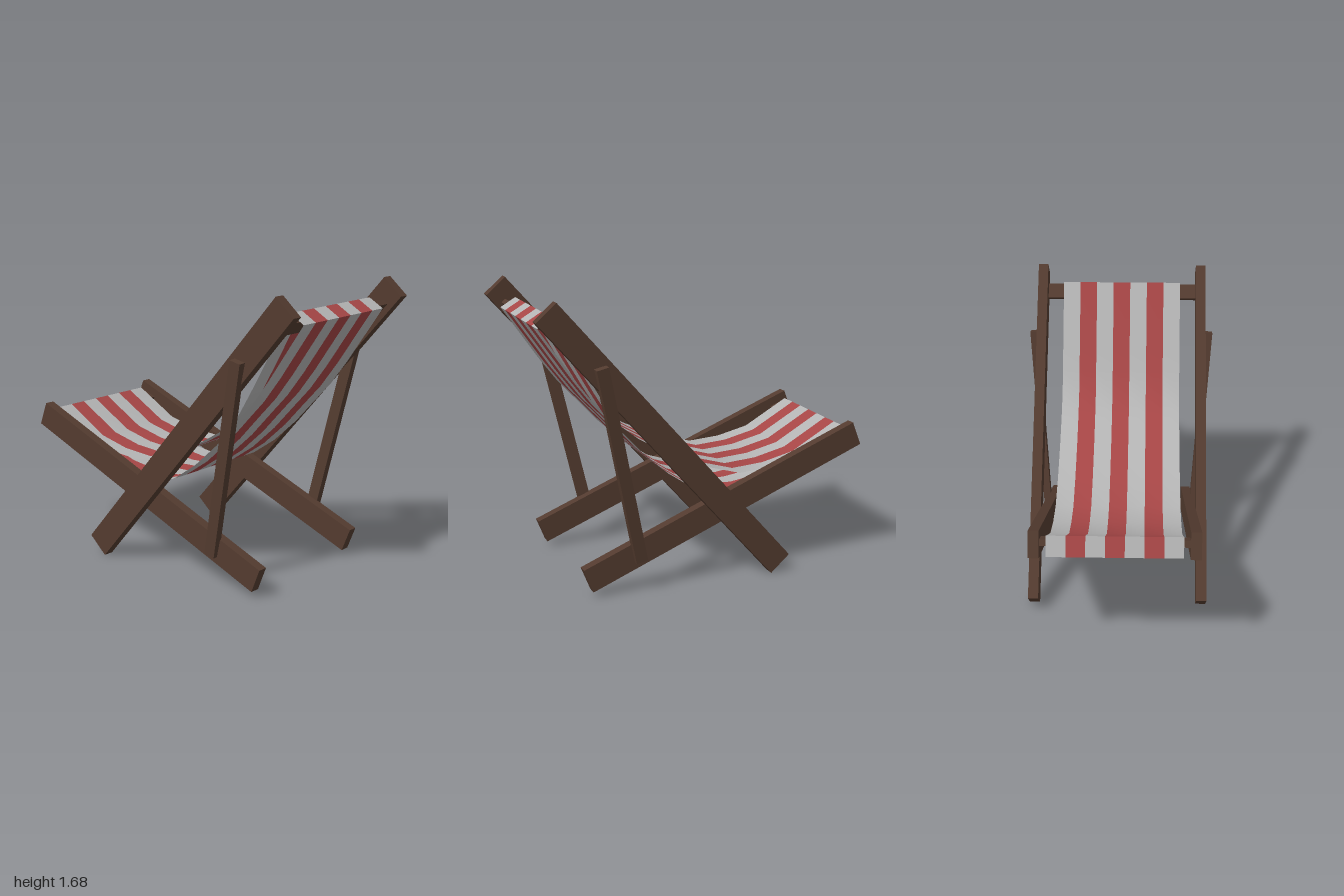
import * as THREE from 'three';
import { mergeGeometries } from 'three/addons/utils/BufferGeometryUtils.js';

const wood = new THREE.MeshStandardMaterial({ name: 'darkWood', color: 0x533b2f });
const pale = new THREE.MeshStandardMaterial({ name: 'paleCanvas', color: 0xb4b4b4, side: THREE.DoubleSide });
const red = new THREE.MeshStandardMaterial({ name: 'redCanvas', color: 0xa64646, side: THREE.DoubleSide });

// Straight beam between two points: width lies in the side plane, depth runs across z
function beam(name, a, b, width, depth) {
  const start = new THREE.Vector3(...a), end = new THREE.Vector3(...b);
  const along = end.clone().sub(start);
  const mesh = new THREE.Mesh(new THREE.BoxGeometry(along.length(), width, depth), wood);
  along.normalize();
  const up = new THREE.Vector3(0, 0, 1).cross(along).normalize();
  const across = along.clone().cross(up);
  mesh.quaternion.setFromRotationMatrix(new THREE.Matrix4().makeBasis(along, up, across));
  mesh.position.copy(start.add(end).multiplyScalar(0.5));
  mesh.name = name;
  return mesh;
}

// Flat crossbar joining the two sides, tilted with its rails
function crossbar(name, x, y, width, height, length, angle) {
  const mesh = new THREE.Mesh(new THREE.BoxGeometry(width, height, length), wood);
  mesh.position.set(x, y, 0);
  mesh.rotation.z = angle;
  mesh.name = name;
  return mesh;
}

// Ribbon of cloth following a side profile between two z positions
function ribbon(profile, z0, z1) {
  const position = [], index = [];
  profile.forEach(([x, y], i) => {
    position.push(x, y, z0, x, y, z1);
    if (i) {
      const k = 2 * i;
      index.push(k - 2, k - 1, k, k, k - 1, k + 1);
    }
  });
  const geometry = new THREE.BufferGeometry();
  geometry.setAttribute('position', new THREE.Float32BufferAttribute(position, 3));
  geometry.setIndex(index);
  geometry.computeVertexNormals();
  return geometry;
}

export function createModel() {
  const chair = new THREE.Group();
  chair.name = 'deckChair';

  // Mirrored side frames
  for (const [name, s] of [['frontSideFrame', 1], ['backSideFrame', -1]]) {
    const frame = new THREE.Group();
    frame.name = name;
    frame.add(
      beam('backRail', [-0.443, 0.052, s * 0.494], [0.942, 1.636, s * 0.494], 0.152, 0.06),
      beam('seatRail', [-0.9725, 0.771, s * 0.43], [0.72, 0.104, s * 0.43], 0.148, 0.058),
      beam('supportStrut', [0.41, 0.183, s * 0.465], [0.655, 1.328, s * 0.545], 0.07, 0.044),
    );
    chair.add(frame);
  }

  // Crossbars carrying the cloth
  chair.add(
    crossbar('topCrossbar', 0.869, 1.512, 0.093, 0.032, 0.94, 0.852),
    crossbar('seatCrossbar', -0.895, 0.745, 0.1, 0.036, 0.82, -0.375),
  );

  // Sling: an open loop of cloth whose two layers nearly meet behind the small of the back
  const upper = [[-0.93, 0.8], [-0.65, 0.645], [-0.45, 0.6], [-0.25, 0.588], [-0.02, 0.657],
    [0.2, 0.757], [0.38, 0.864], [0.51, 0.97], [0.6, 1.12], [0.7, 1.295], [0.855, 1.58]];
  const lower = [[0.945, 1.527], [0.72, 1.2], [0.61, 1.055], [0.5, 0.937], [0.36, 0.785], [0.2, 0.64],
    [0.04, 0.53], [-0.12, 0.475], [-0.29, 0.467], [-0.5, 0.495], [-0.74, 0.58], [-0.975, 0.695]];
  const pieces = [upper, [upper.at(-1), lower[0]], lower, [lower.at(-1), upper[0]]];
  const sling = new THREE.Group();
  sling.name = 'sling';
  const count = 7, half = 0.366, step = (2 * half) / count;
  for (let i = 0; i < count; i++) {
    const z0 = -half + i * step;
    const geometry = mergeGeometries(pieces.map((p) => ribbon(p, z0, z0 + step)));
    const stripe = new THREE.Mesh(geometry, i % 2 ? red : pale);
    stripe.name = i % 2 ? 'redStripe' : 'paleStripe';
    sling.add(stripe);
  }
  chair.add(sling);
  return chair;
}
